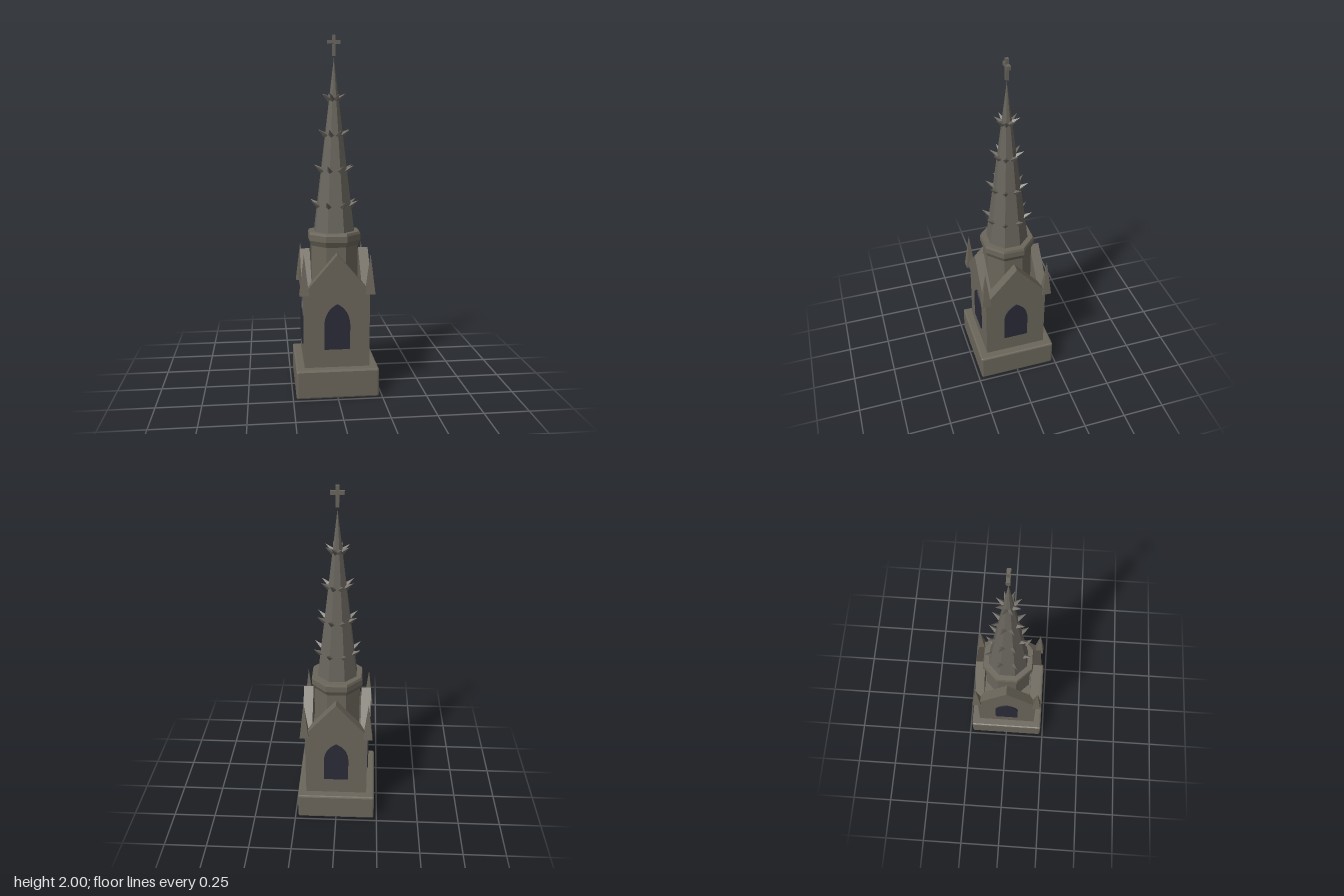
import * as THREE from 'three';
import { RoundedBoxGeometry } from 'three/addons/geometries/RoundedBoxGeometry.js';

const material = (name, color) => new THREE.MeshStandardMaterial({ name, color, flatShading: true });

export function createModel() {
  const stone = material('warm stone', 0x6b665b);
  const spireStone = material('grey spire stone', 0x68645d);
  const glass = material('dark window glass', 0x2a2b37);
  const root = new THREE.Group();
  root.name = 'gothicSpireTower';

  const add = (name, geometry, mat, x = 0, y = 0, z = 0, parent = root) => {
    const mesh = new THREE.Mesh(geometry, mat);
    mesh.name = name;
    mesh.position.set(x, y, z);
    parent.add(mesh);
    return mesh;
  };

  // Plinth with chamfered edges, and the square shaft
  add('plinth', new RoundedBoxGeometry(0.464, 0.165, 0.464, 1, 0.01), stone, 0, 0.0825, 0);
  add('shaft', new THREE.BoxGeometry(0.366, 0.425, 0.366), stone, 0, 0.3775, 0);

  // Pointed-arch window outline
  const arch = new THREE.Shape();
  arch.moveTo(-0.072, 0.27);
  arch.lineTo(0.072, 0.27);
  arch.lineTo(0.072, 0.415);
  arch.quadraticCurveTo(0.068, 0.495, 0, 0.53);
  arch.quadraticCurveTo(-0.068, 0.495, -0.072, 0.415);
  arch.closePath();
  const windowGeo = new THREE.ExtrudeGeometry(arch, { depth: 0.008, bevelEnabled: false, curveSegments: 8 });

  // Triangular gable outline
  const triangle = new THREE.Shape();
  triangle.moveTo(-0.194, 0.587);
  triangle.lineTo(0.194, 0.587);
  triangle.lineTo(0, 0.812);
  triangle.closePath();
  const gableGeo = new THREE.ExtrudeGeometry(triangle, { depth: 0.056, bevelEnabled: false });

  // Four-sided corner pinnacle
  const pinnacleGeo = new THREE.ConeGeometry(0.026 * Math.SQRT2, 0.227, 4, 1);
  pinnacleGeo.rotateY(Math.PI / 4);

  // Each side carries a window, a gable and a corner pinnacle
  for (let i = 0; i < 4; i++) {
    const side = new THREE.Group();
    side.name = 'towerSide' + (i + 1);
    side.rotation.y = (i * Math.PI) / 2;
    add('archedWindow', windowGeo, glass, 0, 0, 0.1825, side);
    add('gable', gableGeo, stone, 0, 0, 0.14, side);
    add('cornerPinnacle', pinnacleGeo, stone, 0.184, 0.7, 0.184, side);
    root.add(side);
  }

  // Octagonal drum with a flared cornice; radii are given to the flat sides
  const toCorner = 1 / Math.cos(Math.PI / 8);
  const profile = [[0.131, 0.585], [0.131, 0.838], [0.145, 0.868], [0.145, 0.902], [0.14, 0.916], [0, 0.916]]
    .map(([r, y]) => new THREE.Vector2(r * toCorner, y));
  add('octagonalDrum', new THREE.LatheGeometry(profile, 8, Math.PI / 8), stone);

  // Octagonal spire
  const spireBase = 0.914, spireTop = 1.88, spireRadius = 0.111 * toCorner;
  const spireGeo = new THREE.ConeGeometry(spireRadius, spireTop - spireBase, 8, 1, false, Math.PI / 8);
  add('spire', spireGeo, spireStone, 0, (spireBase + spireTop) / 2, 0);

  // Rows of hooked crockets along the spire's eight edges
  const crocketGeo = new THREE.ConeGeometry(0.016, 0.055, 4);
  crocketGeo.translate(0, 0.0275, 0);
  crocketGeo.rotateX(0.95);
  [1.06, 1.257, 1.455, 1.652].forEach((y, row) => {
    const radius = spireRadius * (spireTop - y) / (spireTop - spireBase) - 0.004;
    for (let i = 0; i < 8; i++) {
      const a = Math.PI / 8 + (i * Math.PI) / 4;
      const crocket = add('crocketRow' + (row + 1), crocketGeo, spireStone,
        Math.sin(a) * radius, y, Math.cos(a) * radius);
      crocket.rotation.y = a;
    }
  });

  // Finial cross
  add('crossUpright', new THREE.BoxGeometry(0.018, 0.112, 0.018), spireStone, 0, 1.944, 0);
  add('crossArm', new THREE.BoxGeometry(0.072, 0.02, 0.02), spireStone, 0, 1.962, 0);

  return root;
}
